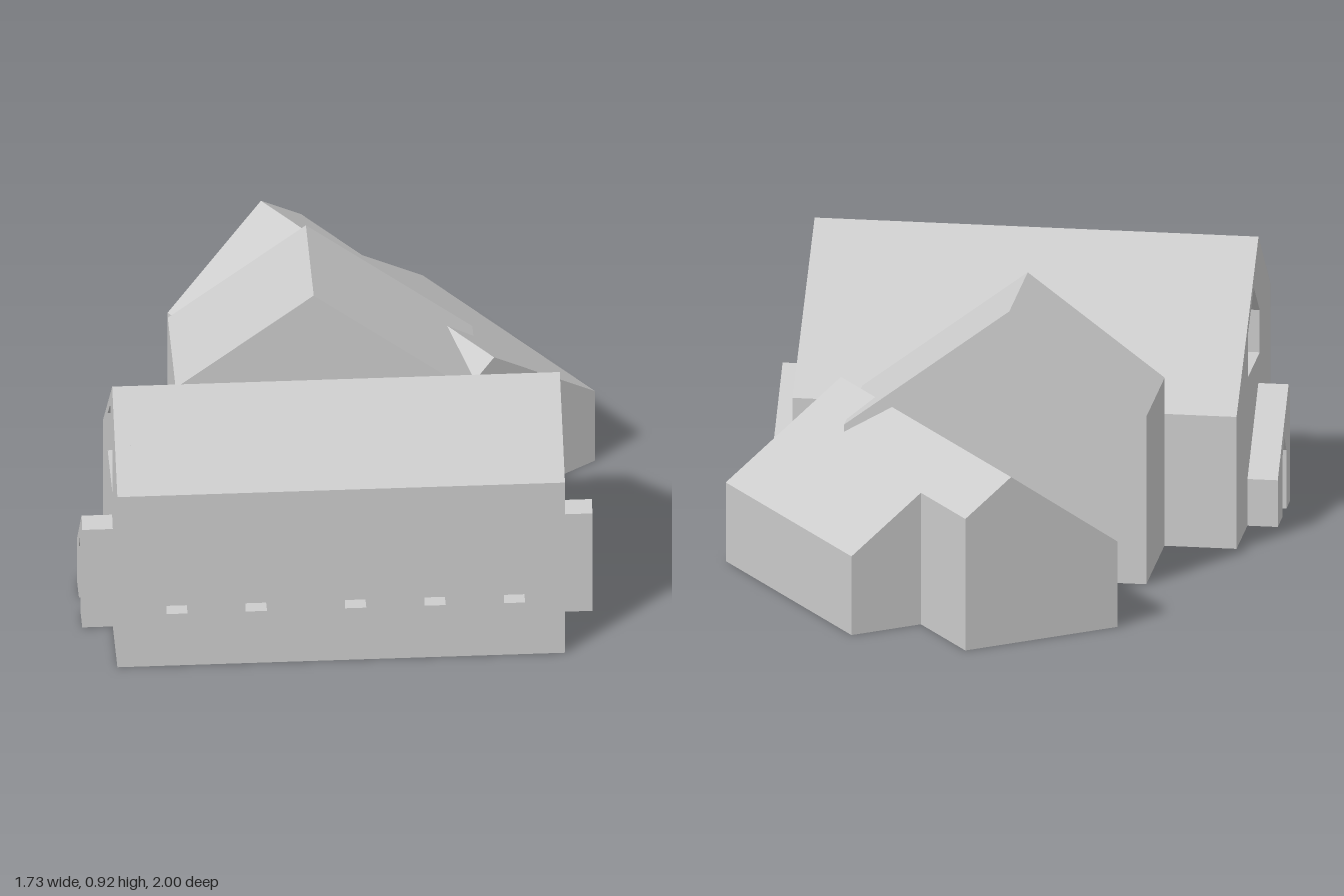
import * as THREE from 'three';

const stone = new THREE.MeshStandardMaterial({ color: 0xcccccc });
stone.name = 'pale stone';

const points = (list) => list.map(([a, b]) => new THREE.Vector2(a, b));

// Closed shape with optional cut-outs
function makeShape(outline, holes = []) {
  const shape = new THREE.Shape(points(outline));
  shape.holes = holes.map((h) => new THREE.Path(points(h)));
  return shape;
}

function extrude(name, shape, depth) {
  const geo = new THREE.ExtrudeGeometry(shape, { depth, bevelEnabled: false });
  const mesh = new THREE.Mesh(geo, stone);
  mesh.name = name;
  return mesh;
}

// Prism along z from an (x, y) outline
function prismZ(name, outline, z0, z1, holes) {
  const mesh = extrude(name, makeShape(outline, holes), z1 - z0);
  mesh.position.z = z0;
  return mesh;
}

// Prism along x from a (z, y) outline
function prismX(name, outline, x0, x1, holes) {
  const mesh = extrude(name, makeShape(outline, holes), x1 - x0);
  mesh.rotation.y = -Math.PI / 2;
  mesh.position.x = x1;
  return mesh;
}

// Pointed opening: centre, half width, sill, spring line, peak
const pointedOpening = (c, w, y0, y1, peak) =>
  [[c - w, y0], [c - w, y1], [c, peak], [c + w, y1], [c + w, y0]];

// Pitched building lofted through sections [along, left, right] with one roof slope
function loftedGable(name, sections, ridge, slope) {
  const rings = sections.map(([z, l, r]) => [
    [l, 0, z], [r, 0, z], [r, ridge - slope * r, z], [0, ridge, z], [l, ridge + slope * l, z],
  ]);
  const pos = [];
  const tri = (...corners) => corners.forEach((c) => pos.push(...c));
  for (let s = 0; s < rings.length - 1; s++) {
    const [p, q] = [rings[s], rings[s + 1]];
    for (let i = 0; i < 5; i++) {
      const j = (i + 1) % 5;
      tri(p[i], p[j], q[j]);
      tri(p[i], q[j], q[i]);
    }
  }
  const first = rings[0], last = rings[rings.length - 1];
  for (let i = 1; i < 4; i++) {
    tri(first[0], first[i + 1], first[i]);
    tri(last[0], last[i], last[i + 1]);
  }
  const geo = new THREE.BufferGeometry();
  geo.setAttribute('position', new THREE.Float32BufferAttribute(pos, 3));
  geo.computeVertexNormals();
  const mesh = new THREE.Mesh(geo, stone);
  mesh.name = name;
  return mesh;
}

export function createModel() {
  const model = new THREE.Group();
  model.name = 'chapel';

  // Nave: core, gable wall and front wall with recessed openings
  const nave = new THREE.Group();
  nave.name = 'nave';
  const left = -0.77, right = 0.695, inner = -0.72;
  nave.add(prismX('naveCore',
    [[0.21, 0], [0.95, 0], [0.95, 0.705], [0.72, 0.91], [0.21, 0.452]], inner, right));
  nave.add(prismX('gableWall',
    [[0.21, 0], [1, 0], [1, 0.66], [0.72, 0.91], [0.21, 0.452]], left, inner,
    [pointedOpening(0.61, 0.137, 0.505, 0.65, 0.77)]));
  const windows = [-0.575, -0.315, 0.01, 0.27, 0.53]
    .map((x) => pointedOpening(x, 0.035, 0.2, 0.455, 0.487));
  nave.add(prismZ('frontWall',
    [[inner, 0], [right, 0], [right, 0.66], [inner, 0.66]], 0.95, 1, windows));
  nave.add(prismX('eaveStrip', [[0.95, 0.66], [1, 0.66], [0.95, 0.705]], inner, right));
  model.add(nave);

  // Side porches, the left one with a recessed doorway
  const porch = [[0.463, 0], [0.752, 0], [0.752, 0.378], [0.715, 0.41], [0.463, 0.16]];
  const door = pointedOpening(0.617, 0.047, 0, 0.2, 0.26);
  model.add(prismX('rightPorch', porch, right, 0.8));
  model.add(prismX('leftPorch', porch, -0.82, left));
  model.add(prismX('leftPorchDoorWall',
    [porch[0], ...door, ...porch.slice(1)], -0.87, -0.82));

  // Cross wing behind the nave
  model.add(prismZ('crossWing',
    [[-0.532, 0], [0.465, 0], [0.465, 0.503], [-0.08, 0.915], [-0.532, 0.574]], -0.21, 0.217));

  // Angled rear wing, widening beyond its end bay
  const rear = loftedGable('rearWing', [
    [0, -0.391, 0.168], [0.318, -0.391, 0.168], [0.318, -0.391, 0.423],
    [0.75, -0.54, 0.423], [1.217, -0.54, 0.423],
  ], 0.57, 0.71);
  rear.rotation.y = 0.616;
  rear.position.set(-0.185, 0, -0.905);
  model.add(rear);

  return model;
}
